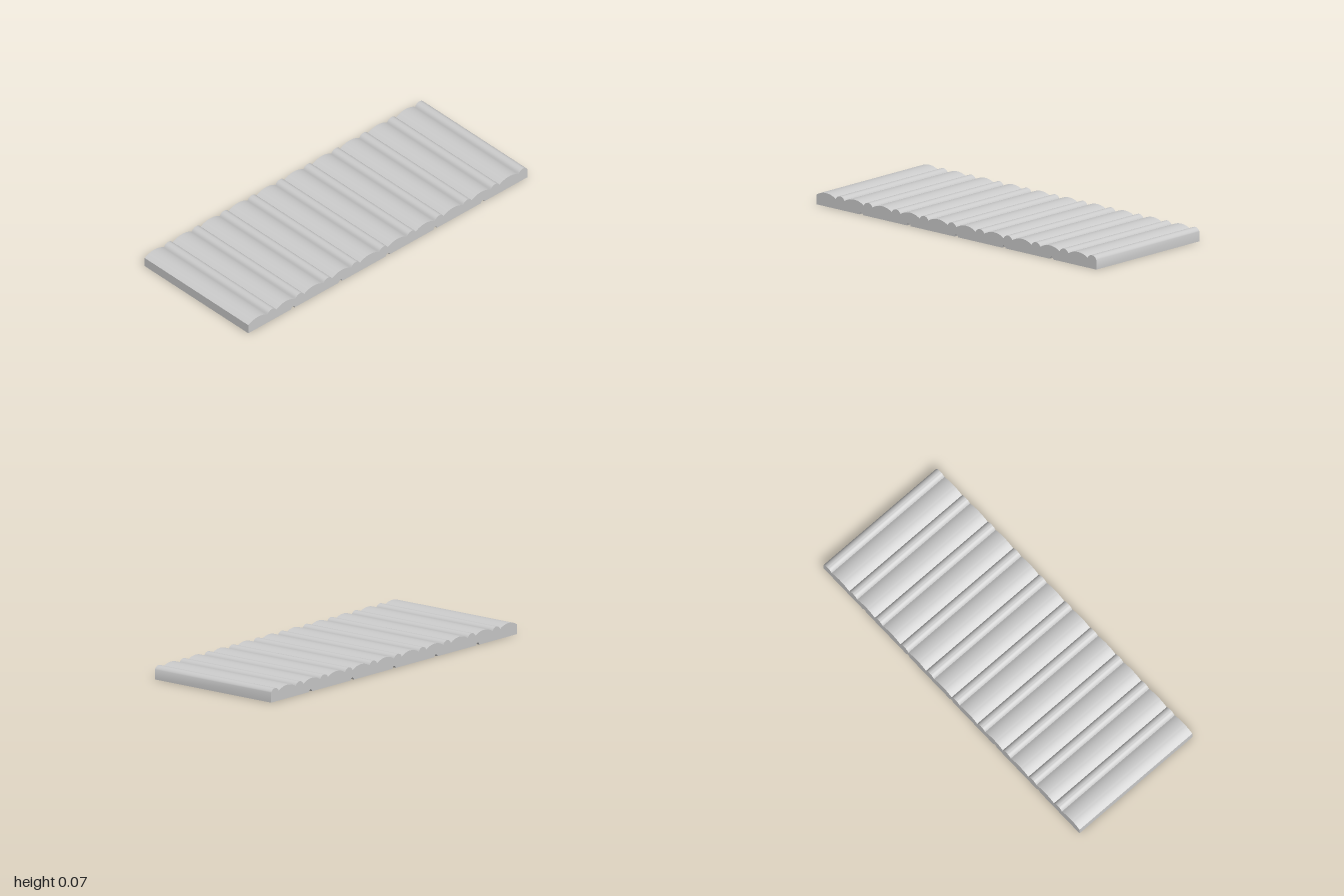
import * as THREE from 'three';
import { toCreasedNormals } from 'three/addons/utils/BufferGeometryUtils.js';

const DEPTH = 0.8, VALLEY = 0.053, RISE = 0.02, PERIOD = 0.2, WIDE = 0.138;
const GROOVE_GAP = 0.34, GROOVE_R = 0.013;

// circular bump on the profile between x0 and x1
function addBump(shape, x0, x1, steps) {
  const half = Math.abs(x1 - x0) / 2, mid = (x0 + x1) / 2;
  const r = (half * half + RISE * RISE) / (2 * RISE);
  const sweep = Math.asin(half / r), dir = Math.sign(x1 - x0);
  for (let i = 1; i <= steps; i++) {
    const a = sweep * (2 * i / steps - 1);
    shape.lineTo(mid + dir * r * Math.sin(a), VALLEY + RISE - r + r * Math.cos(a));
  }
}

export function createModel() {
  const group = new THREE.Group();
  group.name = 'deckBoard';

  const profile = new THREE.Shape();
  // underside with five half-round grooves
  profile.moveTo(-1, 0);
  for (let i = -2; i <= 2; i++) {
    const x = i * GROOVE_GAP;
    profile.lineTo(x - GROOVE_R, 0);
    profile.absarc(x, 0, GROOVE_R, Math.PI, 0, true);
  }
  profile.lineTo(1, 0);
  profile.lineTo(1, VALLEY);
  // ribbed top: a narrow and a wide bump in each period, right to left
  for (let i = 9; i >= 0; i--) {
    const x = -1 + i * PERIOD;
    addBump(profile, x + PERIOD, x + WIDE, 12);
    addBump(profile, x + WIDE, x, 16);
  }
  profile.closePath();

  const extruded = new THREE.ExtrudeGeometry(profile, { depth: DEPTH, bevelEnabled: false, curveSegments: 10 });
  extruded.translate(0, 0, -DEPTH / 2);
  const board = new THREE.Mesh(
    toCreasedNormals(extruded, Math.PI / 6),
    new THREE.MeshStandardMaterial({ color: 0xcccccc })
  );
  board.name = 'ribbedBoard';
  group.add(board);
  return group;
}
